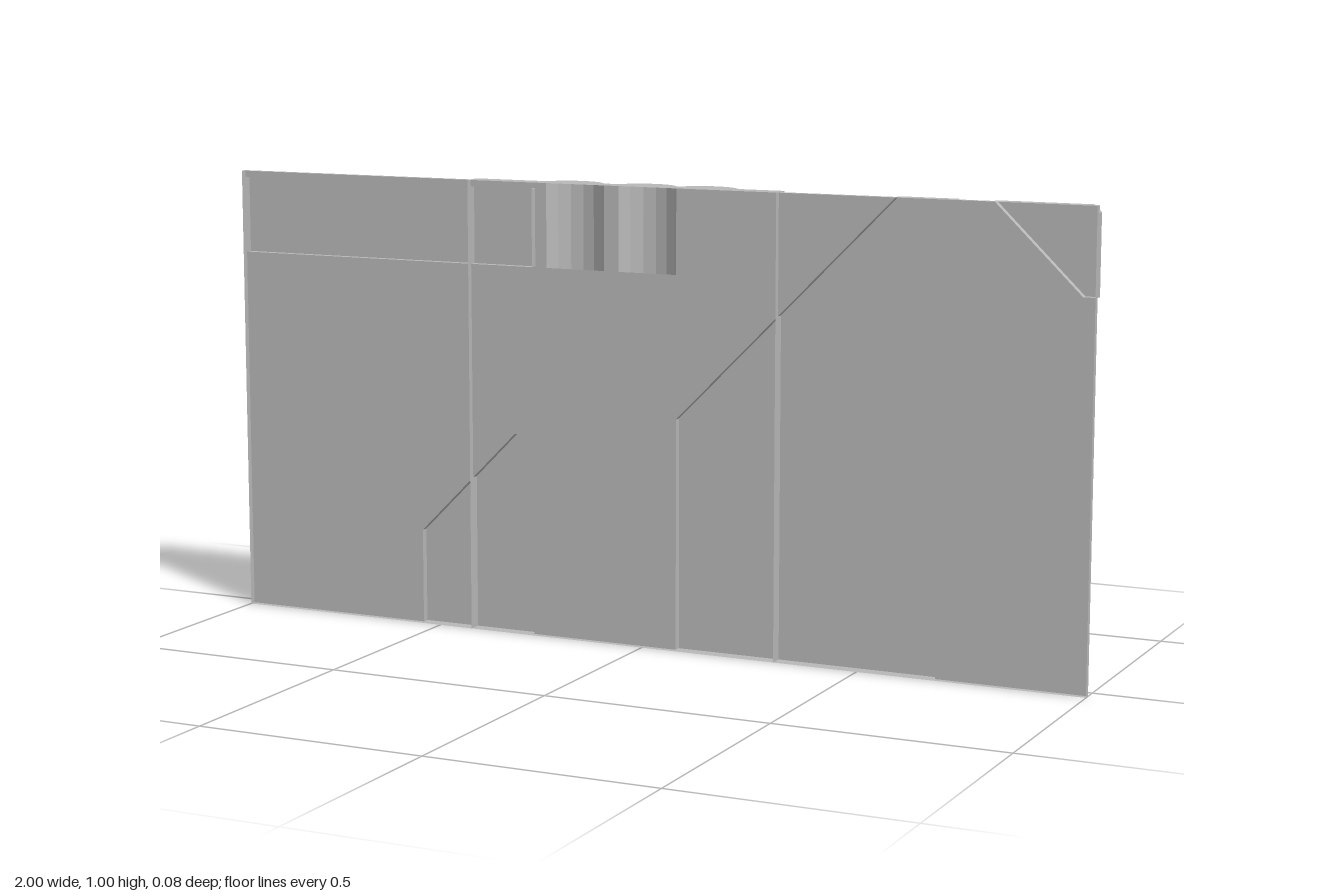
import * as THREE from 'three';
import { mergeGeometries } from 'three/addons/utils/BufferGeometryUtils.js';

// Depth levels, from the open front to the back
const RIM = 0.043, BASE = 0.029, PLATE = 0.013, PANEL = -0.001, RIB = -0.041;

// Flat polygon at depth z
function face(points, z) {
  const shape = new THREE.Shape(points.map(([x, y]) => new THREE.Vector2(x, y)));
  const g = new THREE.ShapeGeometry(shape).toNonIndexed();
  g.deleteAttribute('uv');
  return g.translate(0, 0, z);
}

// Walls following an outline between two depths
function walls(points, z0, z1, closed = true) {
  const pos = [];
  const n = closed ? points.length : points.length - 1;
  for (let i = 0; i < n; i++) {
    const [ax, ay] = points[i];
    const [bx, by] = points[(i + 1) % points.length];
    pos.push(ax, ay, z0, bx, by, z0, bx, by, z1, ax, ay, z0, bx, by, z1, ax, ay, z1);
  }
  const g = new THREE.BufferGeometry();
  g.setAttribute('position', new THREE.Float32BufferAttribute(pos, 3));
  g.computeVertexNormals();
  return g;
}

export function createModel() {
  const group = new THREE.Group();
  const grey = new THREE.MeshStandardMaterial({ color: 0xb8b8b8, side: THREE.DoubleSide });
  grey.name = 'panel grey';
  const add = (name, parts) => {
    const mesh = new THREE.Mesh(mergeGeometries(parts), grey);
    mesh.name = name;
    group.add(mesh);
  };

  // Shallow outer rim
  add('rim', [walls([[-1, 0], [1, 0], [1, 1], [-1, 1]], BASE, RIM)]);

  // Base sheet, cut out where the raised plates and the top opening are
  add('baseSheet', [
    [[-1, 0], [-0.55, 0], [-0.55, 0.21], [-0.315, 0.445], [-0.27, 0.445], [-0.27, 0],
      [0.075, 0], [0.075, 0.505], [0.57, 1], [0.075, 1], [0.075, 0.815], [-1, 0.815]],
    [[-1, 0.985], [-0.27, 0.985], [-0.27, 1], [-1, 1]],
    [[0.67, 0], [1, 0], [1, 0.815], [0.97, 0.815], [0.78, 1], [0.7, 1], [0.93, 0.775], [0.67, 0.515]],
    [[0.985, 1], [1, 0.985], [1, 1]],
  ].map((p) => face(p, BASE)));

  // Raised plates, hollow towards the front
  const plates = {
    topStrip: [[-1, 0.815], [-0.27, 0.815], [-0.27, 0.985], [-1, 0.985]],
    smallPlate: [[-0.55, 0], [-0.27, 0], [-0.27, 0.445], [-0.315, 0.445], [-0.55, 0.21]],
    angledPlate: [[0.075, 0], [0.67, 0], [0.67, 0.515], [0.93, 0.775], [0.7, 1], [0.57, 1], [0.075, 0.505]],
    cornerPlate: [[0.97, 0.815], [1, 0.815], [1, 0.985], [0.985, 1], [0.78, 1]],
  };
  for (const [name, p] of Object.entries(plates)) {
    add(name, [face(p, PLATE), walls(p, PLATE, BASE)]);
  }

  // Ribbed panel: profile in (x, -z), raised to full height
  const profile = [[-0.42, -RIM], [-0.42, -PANEL]];
  const half = 0.07, rise = PANEL - RIB;
  const radius = (half * half + rise * rise) / (2 * rise);
  const sweep = Math.asin(half / radius);
  for (const x of [-0.18, -0.006, 0.136]) {
    for (let i = 0; i <= 6; i++) {
      const a = sweep * (i / 3 - 1);
      profile.push([x + radius * Math.sin(a), -RIB - radius * (1 - Math.cos(a))]);
    }
  }
  profile.push([0.31, -PANEL], [0.31, -RIM]);
  add('ribbedPanel', [
    walls(profile, 0, 1, false),
    face(profile, 0),
    face(profile, 1),
  ].map((g) => g.rotateX(-Math.PI / 2)));

  return group;
}
